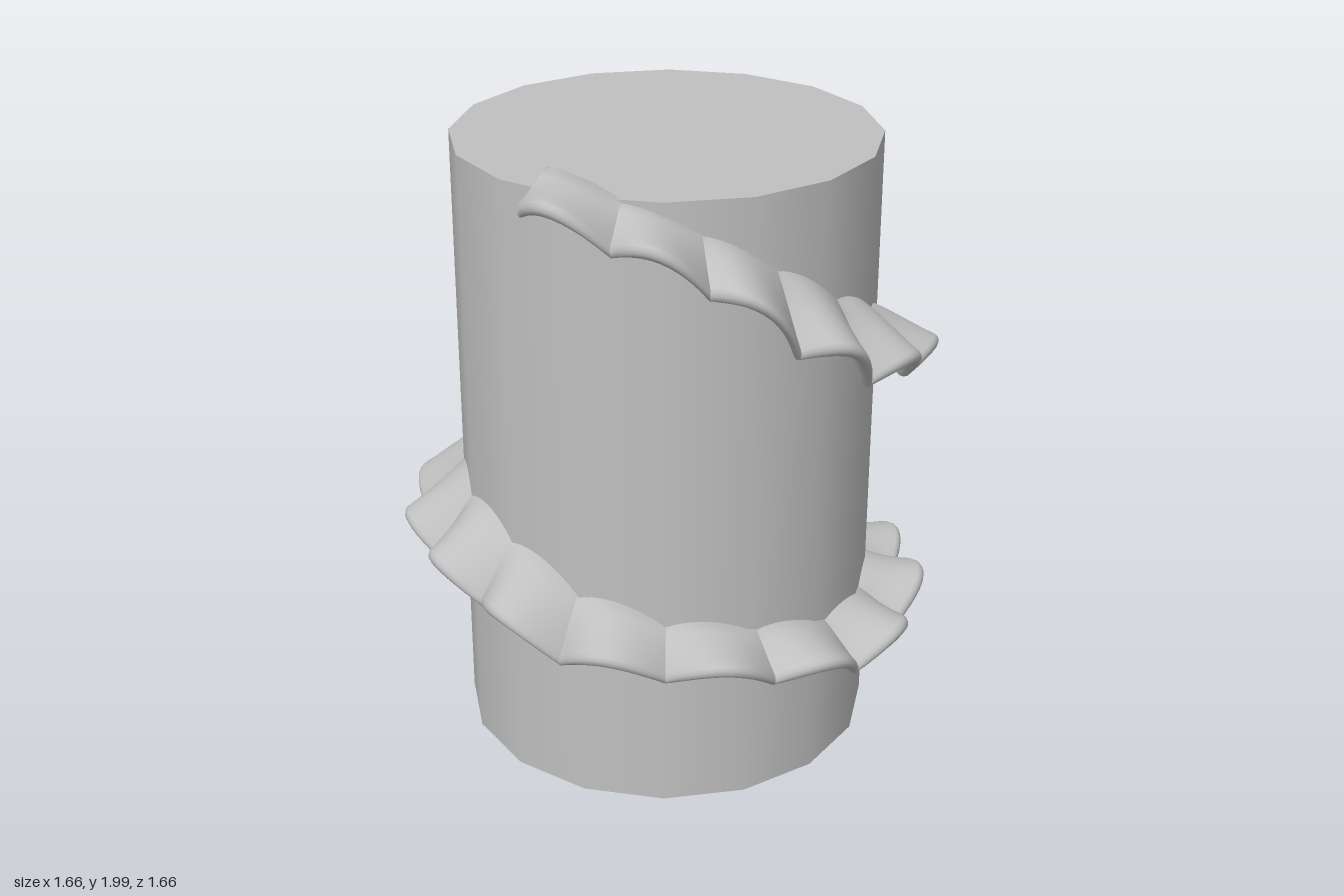
import * as THREE from 'three';

// Each scallop boundary: angle in degrees (0 = front, 90 = +x), inner height, rim height
const CUSPS = [
  [-8, 1.985, 1.91], [12, 1.92, 1.83], [32, 1.83, 1.71], [52, 1.71, 1.5],
  [73, 1.57, 1.34], [95, 1.45, 1.26], [118, 1.34, 1.18], [141, 1.23, 1.06],
  [163, 1.1, 0.9], [187, 1.0, 0.75], [215, 0.92, 0.67], [243, 0.88, 0.65],
  [267, 0.86, 0.63], [291, 0.86, 0.63], [315, 0.86, 0.66], [337, 0.81, 0.63],
  [359, 0.7, 0.53], [383, 0.62, 0.51], [408, 0.57, 0.46], [433, 0.5, 0.375],
  [457, 0.48, 0.375], [482, 0.47, 0.39], [507, 0.44, 0.32], [528, 0.33, 0.21],
];
const INNER_R = 0.615, CUSP_R = 0.745, ARCH_R = 0.065, ARCH_Y = 0.075;
const STEPS = 12, RIM_STEPS = 6;

// Closed section of the frill in (radius, height): top, rounded rim, underside
function section(yInner, yRim, arch) {
  const rRim = CUSP_R + ARCH_R * arch;
  const y0 = yInner + 0.012 * arch, y1 = yRim + ARCH_Y * arch;
  const slope = Math.atan2(y1 - y0, rRim - INNER_R);
  const at = (s, angle, half) => [
    THREE.MathUtils.lerp(INNER_R, rRim, s) + Math.cos(slope + angle) * half,
    THREE.MathUtils.lerp(y0, y1, Math.pow(s, 1.15)) + Math.sin(slope + angle) * half,
  ];
  const stations = [0, 0.3, 0.6, 0.85];
  const half = (s) => 0.01 + 0.012 * s * s;
  const loop = stations.map((s) => at(s, Math.PI / 2, half(s)));
  for (let k = 0; k <= RIM_STEPS; k++) loop.push(at(1, Math.PI / 2 - (Math.PI * k) / RIM_STEPS, 0.024));
  stations.reverse().forEach((s) => loop.push(at(s, -Math.PI / 2, half(s))));
  return loop;
}

// One arched scallop between two neighbouring cusps
function scallop(a, b, capStart, capEnd) {
  const positions = [], index = [];
  let n = 0;
  for (let i = 0; i <= STEPS; i++) {
    const t = i / STEPS;
    const [deg, yIn, yRim] = a.map((v, k) => THREE.MathUtils.lerp(v, b[k], t));
    const th = THREE.MathUtils.degToRad(deg);
    const loop = section(yIn, yRim, Math.sin(Math.PI * t));
    n = loop.length;
    loop.forEach(([r, y]) => positions.push(r * Math.sin(th), y, r * Math.cos(th)));
  }
  for (let i = 0; i < STEPS; i++) {
    for (let j = 0; j < n; j++) {
      const p = i * n + j, q = i * n + ((j + 1) % n);
      index.push(p, q, p + n, q, q + n, p + n);
    }
  }
  // Flat ends of the ribbon use their own corners to stay crisp
  const cap = (row, flip) => {
    const base = positions.length / 3;
    positions.push(...positions.slice(row * n * 3, (row + 1) * n * 3));
    for (let j = 0; j < n / 2 - 1; j++) {
      const p = base + j, q = p + 1, u = base + n - 1 - j, v = u - 1;
      if (flip) index.push(p, u, q, q, u, v);
      else index.push(p, q, u, q, v, u);
    }
  };
  if (capStart) cap(0, true);
  if (capEnd) cap(STEPS, false);
  const g = new THREE.BufferGeometry();
  g.setAttribute('position', new THREE.Float32BufferAttribute(positions, 3));
  g.setIndex(index);
  g.computeVertexNormals();
  return g;
}

export function createModel() {
  const model = new THREE.Group();
  model.name = 'trunkWithSpiralFrill';
  const grey = new THREE.MeshStandardMaterial({ color: 0xc0c0c0 });
  grey.name = 'plain grey';

  // Sixteen-sided trunk
  const trunk = new THREE.Mesh(new THREE.CylinderGeometry(0.645, 0.645, 1.93, 16), grey);
  trunk.name = 'trunk';
  trunk.position.y = 0.965;

  // Frill winding down around the trunk
  const frill = new THREE.Group();
  frill.name = 'spiralFrill';
  for (let i = 0; i < CUSPS.length - 1; i++) {
    const mesh = new THREE.Mesh(scallop(CUSPS[i], CUSPS[i + 1], i === 0, i === CUSPS.length - 2), grey);
    mesh.name = 'scallop' + (i + 1);
    frill.add(mesh);
  }

  model.add(trunk, frill);
  model.position.set(-0.057, 0, -0.027);
  return model;
}
